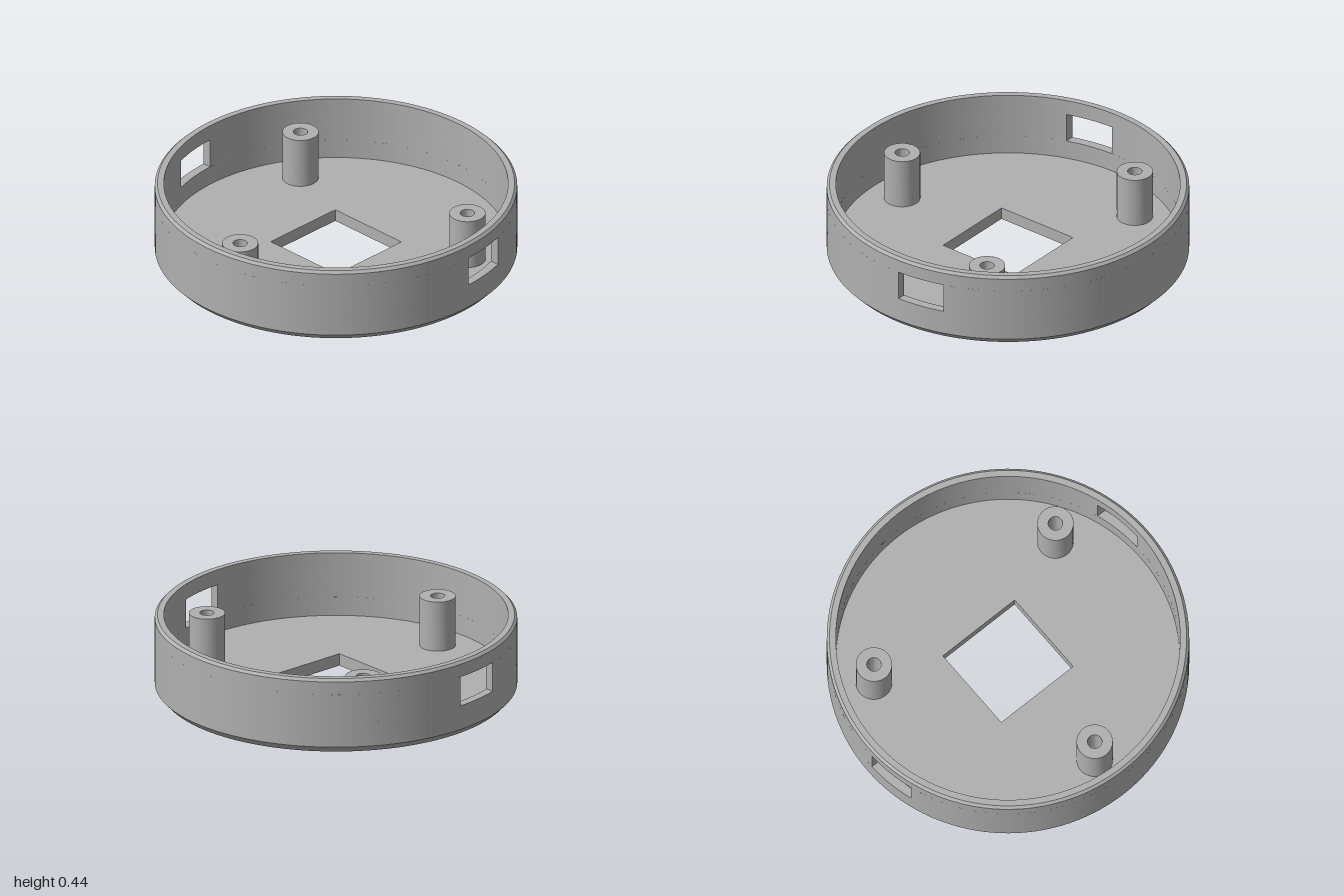
import * as THREE from 'three';
import { toCreasedNormals } from 'three/addons/utils/BufferGeometryUtils.js';

const grey = new THREE.MeshStandardMaterial({ color: 0xb0b0b0 });
grey.name = 'plain grey';

const R = 1, RI = 0.95;              // outer and inner wall radius
const FLOOR = 0.07, ENGRAVE = 0.015; // floor thickness, engraving depth
const WIN = { y0: 0.18, y1: 0.35, near: 0.03, far: 0.31 };

function part(name, geometry) {
  const mesh = new THREE.Mesh(toCreasedNormals(geometry, 0.5), grey);
  mesh.name = name;
  return mesh;
}

// Closed ring: profile runs counterclockwise as [radius, y]
function ring(name, profile, segments) {
  const pts = [...profile, profile[0]].map(([r, y]) => new THREE.Vector2(r, y));
  return part(name, new THREE.LatheGeometry(pts, segments));
}

// Plan shape (x, -z) extruded upward from y0 to y1
function slab(name, shape, y0, y1) {
  const g = new THREE.ExtrudeGeometry(shape, { depth: y1 - y0, bevelEnabled: false, curveSegments: 64 });
  g.rotateX(-Math.PI / 2);
  g.translate(0, y0, 0);
  return part(name, g);
}

function path(points) {
  return new THREE.Path(points.map(([x, y]) => new THREE.Vector2(x, y)));
}

function floorShape() {
  const s = new THREE.Shape().absarc(0, 0, RI, 0, Math.PI * 2);
  const a = 0.257, b = 0.253;
  s.holes.push(path([[-a, -b], [-a, b], [a, b], [a, -b]]));
  return s;
}

export function createModel() {
  const model = new THREE.Group();
  model.name = 'roundEnclosure';

  // Floor with square opening; the lower layer carries the engraved arrow
  const lower = floorShape();
  lower.holes.push(path([
    [-0.009, 0.77], [-0.009, 0.635], [-0.05, 0.645], [0, 0.58],
    [0.05, 0.645], [0.009, 0.635], [0.009, 0.77],
  ]));
  model.add(slab('floorUnderside', lower, 0, ENGRAVE));
  model.add(slab('floor', floorShape(), ENGRAVE, FLOOR));

  // Wall below and above the windows
  model.add(ring('lowerWall', [[RI, 0], [0.962, 0], [R, 0.04], [R, WIN.y0], [RI, WIN.y0]], 128));
  model.add(ring('upperWall', [[RI, WIN.y1], [R, WIN.y1], [R, 0.425], [0.985, 0.44], [RI, 0.44]], 128));

  // Wall halves between the two straight-cut side windows
  for (const turn of [0, Math.PI]) {
    const start = r => turn + Math.asin(WIN.far / r);
    const end = r => turn + Math.PI + Math.asin(WIN.near / r);
    const s = new THREE.Shape();
    s.absarc(0, 0, R, start(R), end(R), false);
    s.absarc(0, 0, RI, end(RI), start(RI), true);
    model.add(slab(turn ? 'frontWall' : 'backWall', s, WIN.y0, WIN.y1));
  }

  // Three hollow screw posts
  for (let i = 0; i < 3; i++) {
    const a = i * Math.PI * 2 / 3;
    const post = ring('screwPost', [[0.04, FLOOR], [0.1, FLOOR], [0.1, 0.36], [0.04, 0.36]], 48);
    post.position.set(0.75 * Math.sin(a), 0, 0.75 * Math.cos(a));
    model.add(post);
  }
  return model;
}
